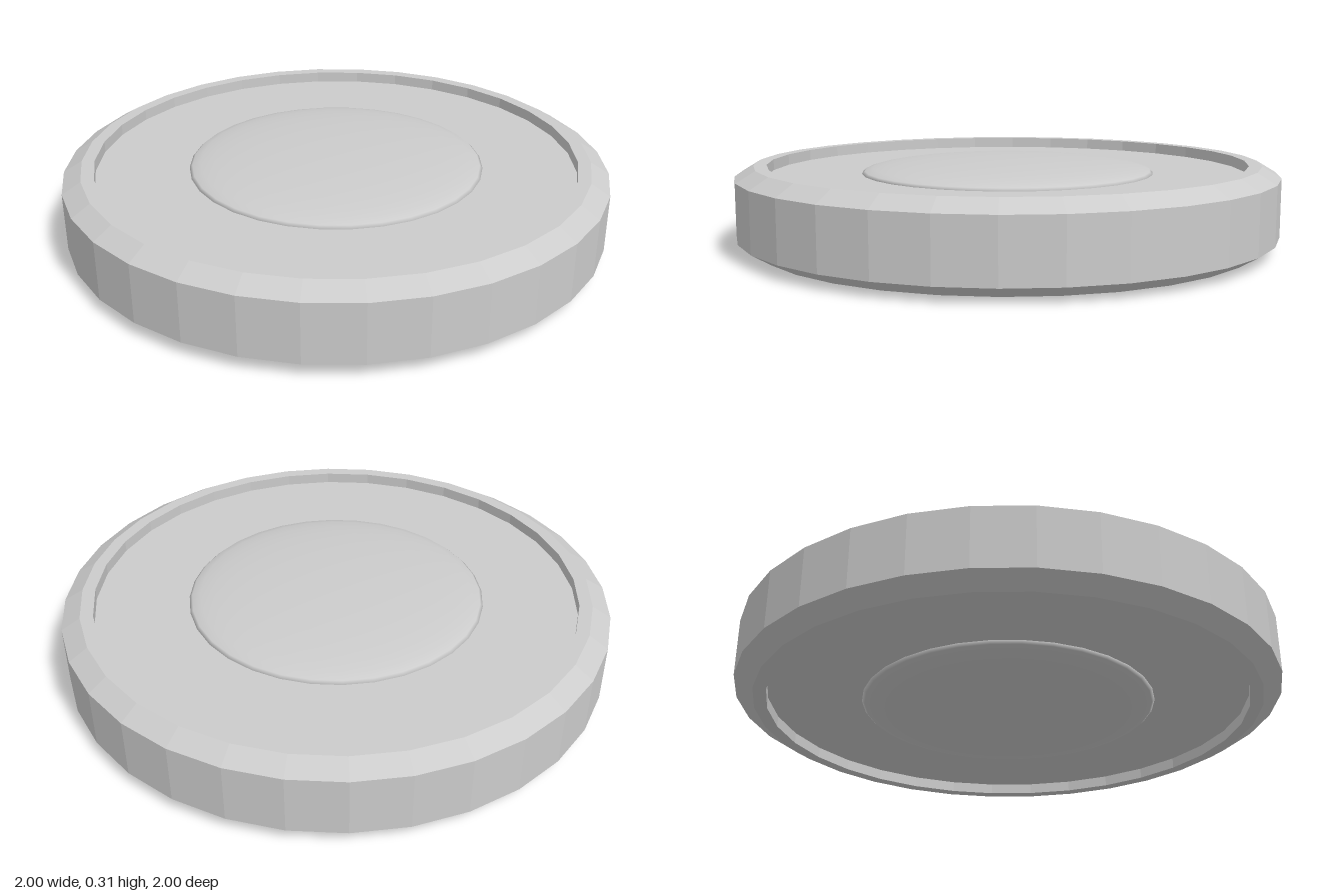
import * as THREE from 'three';

const SIDES = 32;
const MID = 0.1575;      // mid-height of the disc
const FLOOR = 0.107;     // half-thickness at the recessed faces
const RIM = 0.148;       // half-thickness at the rim
const DOME_R = 0.543;

export function createModel() {
  const group = new THREE.Group();
  const flat = new THREE.MeshStandardMaterial({ color: 0xcccccc, flatShading: true });
  const smooth = new THREE.MeshStandardMaterial({ color: 0xcccccc });

  // Chamfered disc with a shallow recess in both faces
  const half = [[0, FLOOR], [0.885, FLOOR], [0.885, RIM], [0.932, RIM], [1, FLOOR]];
  const lower = half.map(([r, y]) => new THREE.Vector2(r, -y));
  const upper = half.map(([r, y]) => new THREE.Vector2(r, y)).reverse();
  const disc = new THREE.Mesh(new THREE.LatheGeometry([...lower, ...upper], SIDES), flat);
  disc.name = 'disc';
  disc.position.y = MID;
  group.add(disc);

  // Low dome in the middle of each face
  const domeGeometry = new THREE.SphereGeometry(1, SIDES, 8, 0, Math.PI * 2, 0, Math.PI / 2);
  for (const side of [1, -1]) {
    const dome = new THREE.Mesh(domeGeometry, smooth);
    dome.name = side > 0 ? 'topDome' : 'bottomDome';
    dome.scale.set(DOME_R, MID - FLOOR, DOME_R);
    dome.position.y = MID + side * FLOOR;
    if (side < 0) dome.rotation.x = Math.PI;
    group.add(dome);
  }
  return group;
}
